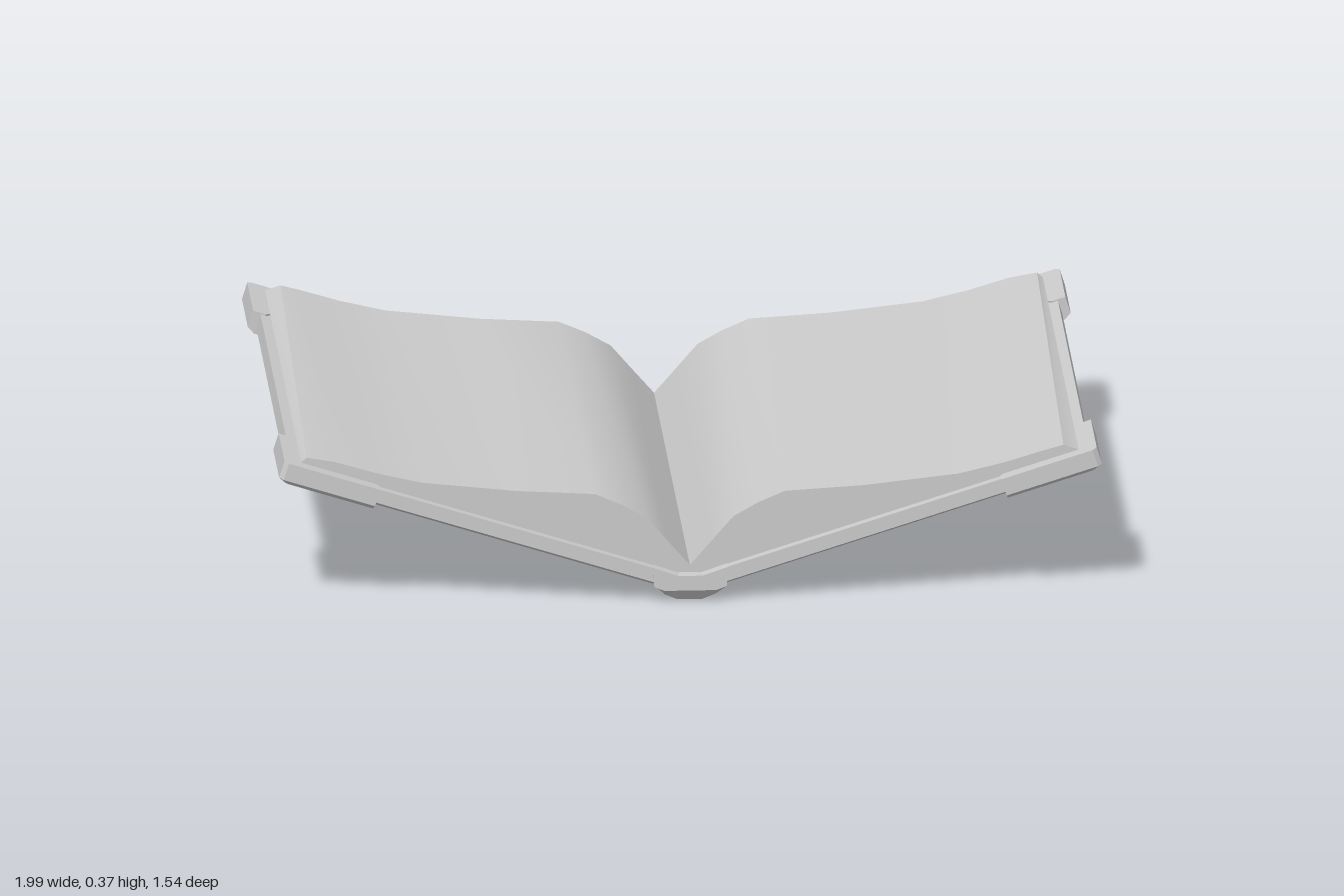
import * as THREE from 'three';
import { toCreasedNormals } from 'three/addons/utils/BufferGeometryUtils.js';

const material = new THREE.MeshStandardMaterial({ color: 0xcccccc });
const TILT = Math.atan(0.316); // rise of each cover board
const HINGE = 0.058;           // height of the board surface at the centre line

// Closed solid through matching 2D rings [{ p, w }], placed in space by map(a, b, w)
function loft(name, rings, map, crease = 0.15) {
  const loops = rings.map(({ p, w }) => ({
    w, p: (THREE.ShapeUtils.area(p.map(q => new THREE.Vector2(...q))) < 0 ? [...p].reverse() : p)
  }));
  const n = loops[0].p.length;
  const points = loops.flatMap(({ p, w }) => p.map(([a, b]) => map(a, b, w)));
  const tris = [];
  for (let r = 0; r < loops.length - 1; r++) {
    for (let i = 0; i < n; i++) {
      const a = r * n + i, b = r * n + (i + 1) % n;
      tris.push([a, b, b + n], [a, b + n, a + n]);
    }
  }
  const cap = r => THREE.ShapeUtils.triangulateShape(loops[r].p.map(q => new THREE.Vector2(...q)), [])
    .map(t => t.map(i => i + r * n));
  const last = loops.length - 1;
  cap(0).forEach(([a, b, c]) => tris.push([a, c, b]));
  tris.push(...cap(last));
  // Turn mirrored solids the right way out
  let volume = 0;
  const cross = new THREE.Vector3();
  for (const [a, b, c] of tris) volume += points[a].dot(cross.crossVectors(points[b], points[c]));
  if (volume < 0) tris.forEach(t => t.reverse());

  const geometry = new THREE.BufferGeometry().setFromPoints(points);
  geometry.setIndex(tris.flat());
  const mesh = new THREE.Mesh(toCreasedNormals(geometry, crease), material);
  mesh.name = name;
  return mesh;
}

// Coordinates on a tilted board: u away from the spine, z along it, h above its surface
const onBoard = side => (u, z, h) => new THREE.Vector3(
  side * (u * Math.cos(TILT) - h * Math.sin(TILT)),
  HINGE + u * Math.sin(TILT) + h * Math.cos(TILT), z);

const rect = (u0, u1, z) => [[u0, -z], [u1, -z], [u1, z], [u0, z]];

// Board with a shallow bevel around its underside
function cover(side) {
  return loft(side > 0 ? 'leftCover' : 'rightCover', [
    { p: rect(0.03, 0.983, 0.722), w: -0.046 },
    { p: rect(0, 1.013, 0.752), w: -0.034 },
    { p: rect(0, 1.013, 0.752), w: 0 }
  ], onBoard(side));
}

// Triangular protector wrapped over a board corner
function cornerGuard(side, end) {
  const outline = [[0.79, 0.768], [1.022, 0.768], [1.033, 0.757], [1.033, 0.52], [1.0, 0.52], [0.79, 0.735]];
  const inset = [[0.79, 0.748], [1.006, 0.748], [1.013, 0.741], [1.013, 0.52], [1.0, 0.52], [0.79, 0.735]];
  const place = onBoard(side);
  return loft('cornerGuard', [
    { p: inset, w: -0.051 },
    { p: outline, w: -0.039 },
    { p: outline, w: 0.004 }
  ], (u, z, h) => place(u, end * z, h));
}

// Block of pages: gutter, swelling and slightly skewed fore-edge
function pages(side) {
  const section = edge => [
    [0, 0.054], [0.94, 0.352], [0.942, 0.36], [edge, 0.372], [0.86, 0.36], [0.76, 0.33], [0.65, 0.304],
    [0.42, 0.279], [0.23, 0.268], [0.165, 0.24], [0.105, 0.206], [0.055, 0.148], [0, 0.085]
  ];
  const [front, back] = side > 0 ? [0.905, 0.928] : [0.928, 0.905];
  return loft(side > 0 ? 'leftPages' : 'rightPages', [
    { p: section(back), w: -0.733 },
    { p: section(front), w: 0.727 }
  ], (x, y, z) => new THREE.Vector3(side * x, y, z), 0.48);
}

// Rounded spine strip with chamfered ends
function spine() {
  const half = [[0.03, 0], [0.062, 0.013], [0.088, 0.04], [0.09, 0.088], [0.03, 0.067]];
  const full = [...half, ...half.map(([x, y]) => [-x, y]).reverse()];
  const end = full.map(([x, y]) => [x, Math.max(y, 0.03)]);
  return loft('spine', [
    { p: end, w: -0.759 }, { p: full, w: -0.73 }, { p: full, w: 0.73 }, { p: end, w: 0.759 }
  ], (x, y, z) => new THREE.Vector3(x, y, z));
}

export function createModel() {
  const book = new THREE.Group();
  book.name = 'openBook';
  book.add(spine());
  for (const side of [1, -1]) {
    book.add(cover(side), pages(side));
    for (const end of [1, -1]) book.add(cornerGuard(side, end));
  }
  return book;
}
